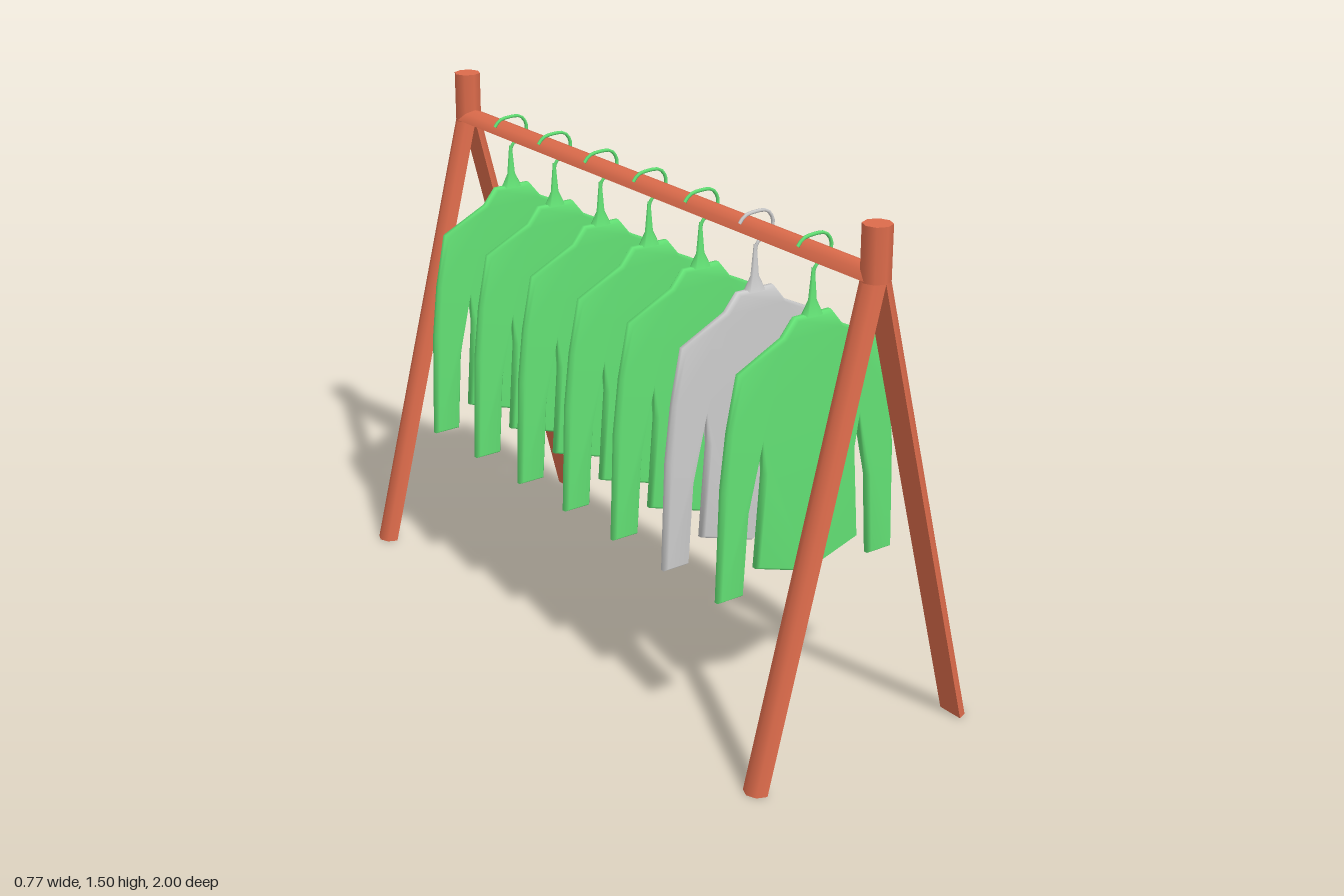
import * as THREE from 'three';
import { mergeVertices, toCreasedNormals } from 'three/addons/utils/BufferGeometryUtils.js';

const wood = new THREE.MeshStandardMaterial({ color: 0xdc6b4b });
const green = new THREE.MeshStandardMaterial({ color: 0x62e074 });
const grey = new THREE.MeshStandardMaterial({ color: 0xcccccc });

const R = 0.04; // radius of the timber
const SPLIT = 1.35; // height where the legs part
const SPREAD = 0.345; // sideways reach of each leg

function addMesh(parent, name, geometry, material) {
  const mesh = new THREE.Mesh(geometry, material);
  mesh.name = name;
  parent.add(mesh);
  return mesh;
}

// Half an octagon, round towards +x or -x
function halfRound(side) {
  const pts = [];
  for (let i = 0; i <= 4; i++) {
    const a = -Math.PI / 2 + (i * Math.PI) / 4;
    pts.push(new THREE.Vector2(side * R * Math.cos(a), R * Math.sin(a)));
  }
  return new THREE.Shape(pts);
}

function bar(shape, length) {
  return new THREE.ExtrudeGeometry(shape, { depth: length, bevelEnabled: false });
}

// Half-round leg with level ends, sheared outwards towards the floor
function legGeometry(side) {
  const g = bar(halfRound(side), SPLIT).rotateX(-Math.PI / 2);
  const p = g.attributes.position;
  for (let i = 0; i < p.count; i++) {
    p.setX(i, p.getX(i) + side * SPREAD * (1 - p.getY(i) / SPLIT));
  }
  return toCreasedNormals(g, Math.PI / 3);
}

// Forked stand: short octagonal post that divides into two legs
function makeStand(z) {
  const stand = new THREE.Group();
  stand.name = z > 0 ? 'frontStand' : 'backStand';
  const post = new THREE.CylinderGeometry(R, R, 1.5 - SPLIT, 8);
  addMesh(stand, 'post', post, wood).position.y = (1.5 + SPLIT) / 2;
  addMesh(stand, 'leftLeg', legGeometry(1), wood);
  addMesh(stand, 'rightLeg', legGeometry(-1), wood);
  stand.position.z = z;
  return stand;
}

// Flat garment: half outline mirrored, with softened edges
function garmentGeometry() {
  const half = [
    [0.06, 1.195], [0.1, 1.147], [0.245, 1.077], [0.277, 0.92], [0.295, 0.76],
    [0.305, 0.44], [0.22, 0.44], [0.205, 0.68], [0.167, 0.87],
    [0.158, 0.78], [0.178, 0.507],
  ];
  const outline = [
    ...half, [0, 0.45],
    ...half.slice().reverse().map(([x, y]) => [-x, y]),
  ].map(([x, y]) => new THREE.Vector2(x, y));
  let g = new THREE.ExtrudeGeometry(new THREE.Shape(outline), {
    depth: 0.012, bevelThickness: 0.01, bevelSize: 0.008, bevelOffset: -0.008, bevelSegments: 1,
  });
  g.translate(0, 0, -0.006);
  g.deleteAttribute('normal');
  g.deleteAttribute('uv');
  g = mergeVertices(g);
  g.computeVertexNormals();
  return g;
}

// Flared hanger neck
function neckGeometry() {
  const profile = [[0.035, 1.19], [0.014, 1.23], [0.005, 1.32]].map(([r, y]) => new THREE.Vector2(r, y));
  return new THREE.LatheGeometry(profile, 8).scale(1, 1, 0.6);
}

// Open hook that passes over the rail
function hookGeometry() {
  const path = [
    [0, 1.3], [0.008, 1.325], [0.045, 1.335], [0.06, 1.372], [0.04, 1.405],
    [0, 1.41], [-0.038, 1.403], [-0.055, 1.385],
  ].map(([x, y]) => new THREE.Vector3(x, y, 0));
  return new THREE.TubeGeometry(new THREE.CatmullRomCurve3(path), 16, 0.005, 6);
}

export function createModel() {
  const rack = new THREE.Group();
  rack.name = 'clothesRack';
  rack.add(makeStand(0.96), makeStand(-0.96));

  // Rail: half-round on top, flat underneath
  const rail = bar(halfRound(1), 1.92).rotateZ(Math.PI / 2).scale(1, 0.85, 1).translate(0, 1.354, -0.96);
  addMesh(rack, 'rail', toCreasedNormals(rail, Math.PI / 3), wood);

  // Seven hanging garments, one of them grey
  const garment = garmentGeometry();
  const neck = neckGeometry();
  const hook = hookGeometry();
  for (let i = -3; i <= 3; i++) {
    const material = i === 2 ? grey : green;
    const item = new THREE.Group();
    item.name = `hangingGarment${i + 4}`;
    addMesh(item, 'garment', garment, material);
    addMesh(item, 'hangerNeck', neck, material);
    addMesh(item, 'hangerHook', hook, material);
    item.position.z = i * 0.24;
    rack.add(item);
  }
  return rack;
}
